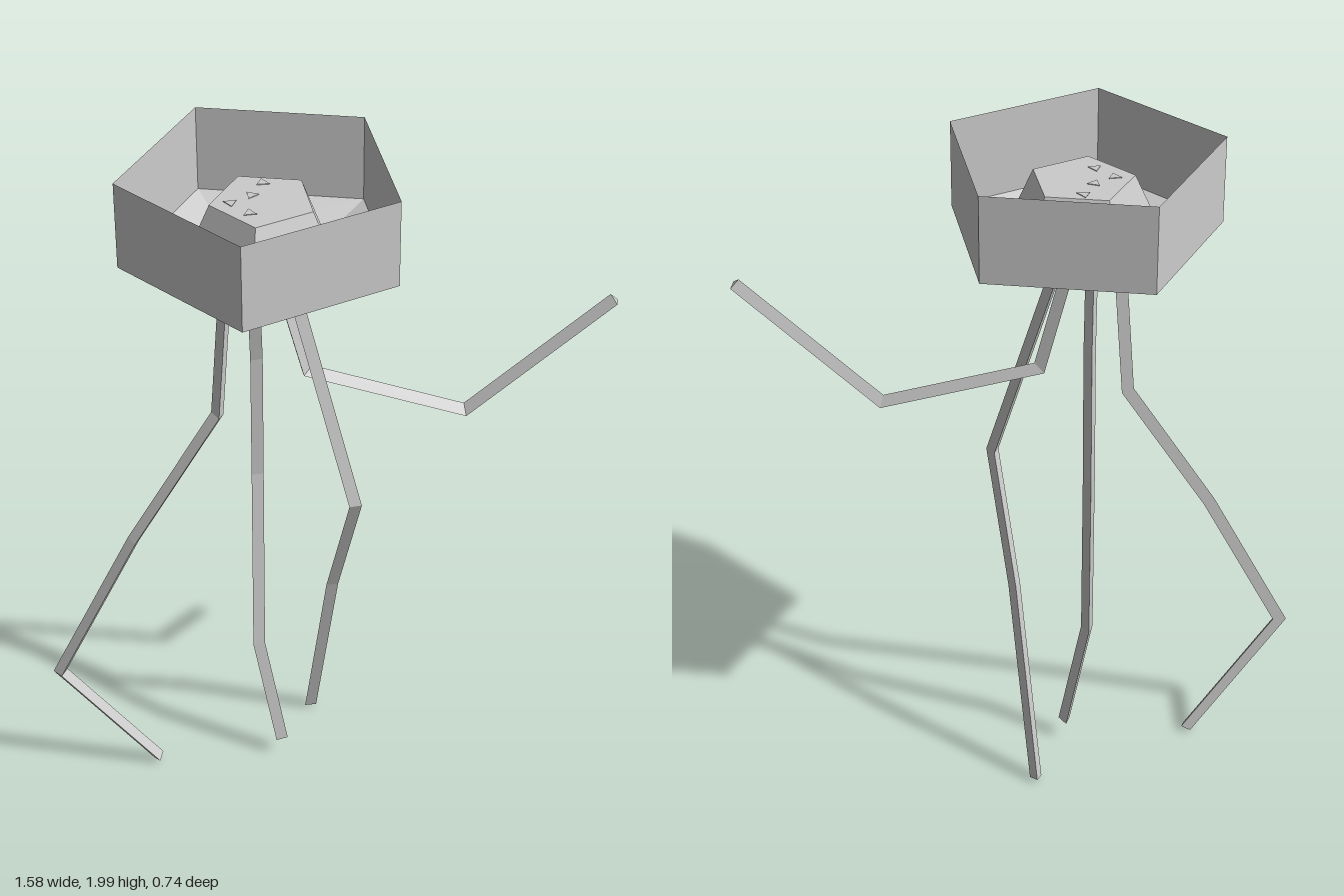
import * as THREE from 'three';

const material = new THREE.MeshStandardMaterial({ color: 0xcccccc, flatShading: true, side: THREE.DoubleSide });

// Three-sided rod along a bent path, mitred at each joint; apex is the side one edge points to
function limbGeometry(path, apex, radius) {
  const pts = path.map((p) => new THREE.Vector3(...p));
  const dirs = pts.slice(1).map((p, i) => p.clone().sub(pts[i]).normalize());
  const u = new THREE.Vector3(...apex).addScaledVector(dirs[0], -dirs[0].dot(new THREE.Vector3(...apex))).normalize();
  const v = dirs[0].clone().cross(u);
  let ring = [0, 1, 2].map((k) => {
    const a = (k * Math.PI * 2) / 3;
    return pts[0].clone().addScaledVector(u, radius * Math.cos(a)).addScaledVector(v, radius * Math.sin(a));
  });
  const rings = pts.map((p, i) => {
    const dir = dirs[Math.max(i - 1, 0)];
    // joint plane: level at the root, bisecting at joints, square at the tip
    const normal = i === 0 ? new THREE.Vector3(0, 1, 0) : dir.clone().add(dirs[i] ?? dir).normalize();
    ring = ring.map((q) => q.clone().addScaledVector(dir, normal.dot(p.clone().sub(q)) / normal.dot(dir)));
    return ring;
  });
  const index = [0, 2, 1];
  for (let i = 0; i < rings.length - 1; i++) {
    for (let k = 0; k < 3; k++) {
      const a = i * 3 + k, b = i * 3 + ((k + 1) % 3);
      index.push(a, b, b + 3, a, b + 3, a + 3);
    }
  }
  const end = (rings.length - 1) * 3;
  index.push(end, end + 1, end + 2);
  const geometry = new THREE.BufferGeometry().setFromPoints(rings.flat());
  geometry.setIndex(index);
  geometry.computeVertexNormals();
  return geometry;
}

export function createModel() {
  const group = new THREE.Group();

  // Open five-sided bowl with a raised centre
  const profile = [[0, 1.91], [0.144, 1.91], [0.238, 1.7], [0.39, 1.75], [0.39, 2]]
    .map(([r, y]) => new THREE.Vector2(r, y));
  const bowl = new THREE.Mesh(new THREE.LatheGeometry(profile, 5, -Math.PI / 2), material);
  bowl.name = 'bowl';
  bowl.position.x = -0.153;
  group.add(bowl);

  // Thin jointed limbs hanging from the raised centre
  const top = 1.912;
  const limbs = [
    ['rightLimb', [0, 0, 1], [[-0.24, top, 0], [-0.29, 1.25, 0.005], [-0.54, 0.85, 0.005], [-0.775, 0.4, 0.005], [-0.5, 0.02, 0.008]]],
    ['middleLimb', [0, 0, -1], [[-0.2, top, 0.06], [-0.175, 1.4, -0.035], [-0.175, 1.0, -0.05], [-0.19, 0.43, 0.015], [-0.13, 0.07, 0.045]]],
    ['leftLimb', [0, 0, -1], [[-0.14, top, -0.09], [0.067, 1.0, 0.15], [0.03, 0.62, 0.01], [-0.005, 0.02, -0.15]]],
    ['raisedArm', [1, 0, 0], [[-0.18, top, -0.03], [-0.04, 1.355, -0.01], [0.39, 1.235, 0.09], [0.77, 1.6, 0.17]]],
  ];
  for (const [name, apex, path] of limbs) {
    const limb = new THREE.Mesh(limbGeometry(path, apex, 0.02), material);
    limb.name = name;
    group.add(limb);
  }
  return group;
}
